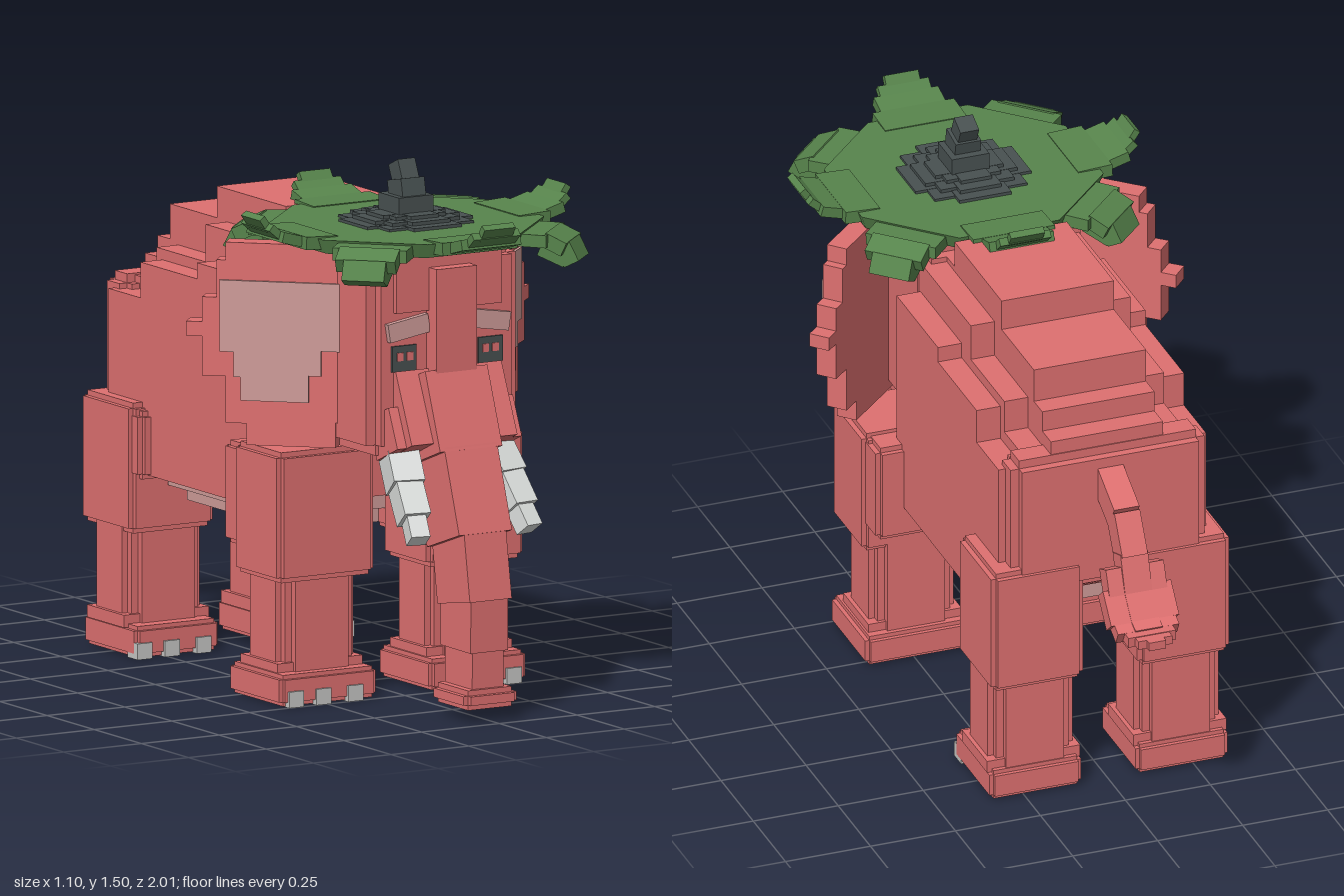
import * as THREE from 'three';

const mat = (name, color) => {
  const m = new THREE.MeshStandardMaterial({ color });
  m.name = name;
  return m;
};

export function createModel() {
  const skin = mat('pinkSkin', 0xde7070), pale = mat('palePink', 0xcf9c99);
  const ivory = mat('ivory', 0xdcdfdd), nail = mat('nailGrey', 0xc6c6c4);
  const green = mat('leafGreen', 0x57844c), dark = mat('charcoal', 0x485151);
  const root = new THREE.Group();
  root.name = 'elephant';

  const group = (name, parent = root) => {
    const g = new THREE.Group();
    g.name = name;
    parent.add(g);
    return g;
  };
  // Box given by its limits on each axis
  const box = (parent, name, m, [x0, x1], [y0, y1], [z0, z1]) => {
    const b = new THREE.Mesh(new THREE.BoxGeometry(x1 - x0, y1 - y0, z1 - z0), m);
    b.position.set((x0 + x1) / 2, (y0 + y1) / 2, (z0 + z1) / 2);
    b.name = name;
    parent.add(b);
    return b;
  };
  // Block with stepped edges made of three crossing boxes
  const block = (parent, name, m, x, y, z, s) => {
    const inset = ([a, b]) => [a + s, b - s];
    box(parent, name, m, x, inset(y), inset(z));
    box(parent, name, m, inset(x), y, inset(z));
    box(parent, name, m, inset(x), inset(y), z);
  };
  // Box running from point a to point b
  const limb = (parent, name, m, a, b, w, d, extra = 0.015) => {
    const p = new THREE.Vector3(...a), q = new THREE.Vector3(...b);
    const s = new THREE.Mesh(new THREE.BoxGeometry(w, d, p.distanceTo(q) + extra), m);
    s.position.copy(p).add(q).multiplyScalar(0.5);
    s.lookAt(q);
    s.name = name;
    parent.add(s);
  };
  // Chain of boxes in the yz plane; each row is z, y, width, depth
  const chain = (parent, name, m, rows) => {
    for (let i = 0; i < rows.length - 1; i++) {
      const [z, y, w, d] = rows[i], [z2, y2] = rows[i + 1];
      limb(parent, name, m, [0, y, z], [0, y2, z2], w, d);
    }
  };
  const extrude = (points, depth) => new THREE.ExtrudeGeometry(
    new THREE.Shape(points.map(p => new THREE.Vector2(...p))), { depth, bevelEnabled: false });

  // Body: stepped back and stepped rear underside, nested side profiles (z, y)
  const body = group('body');
  const slab = (half, pts) => {
    const g = extrude(pts.map(([z, y]) => [-z, y]), half * 2);
    g.rotateY(Math.PI / 2).translate(-half, 0, 0);
    const m = new THREE.Mesh(g, skin);
    m.name = 'bodyLayer';
    body.add(m);
  };
  slab(0.305, [[0.22, 0.51], [0.22, 1.145], [-0.1, 1.145], [-0.1, 1.1], [-0.4, 1.1],
    [-0.4, 1.0], [-0.57, 1.0], [-0.57, 0.6], [-0.5, 0.6], [-0.5, 0.555], [-0.43, 0.555], [-0.43, 0.51]]);
  slab(0.235, [[0.26, 0.515], [0.26, 1.235], [-0.17, 1.235], [-0.17, 1.13], [-0.43, 1.13],
    [-0.43, 1.035], [-0.605, 1.035], [-0.605, 0.63], [-0.54, 0.63], [-0.54, 0.58],
    [-0.47, 0.58], [-0.47, 0.535], [-0.4, 0.535], [-0.4, 0.515]]);
  slab(0.165, [[0.24, 0.6], [0.24, 1.25], [0.14, 1.25], [0.14, 1.327], [-0.225, 1.327],
    [-0.225, 1.238], [-0.475, 1.238], [-0.475, 1.14], [-0.54, 1.14], [-0.54, 1.08],
    [-0.607, 1.08], [-0.607, 0.65], [-0.5, 0.65], [-0.5, 0.6]]);
  block(body, 'rump', skin, [-0.285, 0.285], [0.62, 1.04], [-0.635, -0.52], 0.025);
  box(body, 'upperBelly', pale, [-0.235, 0.235], [0.475, 0.53], [-0.37, 0.24]);
  box(body, 'lowerBelly', pale, [-0.18, 0.18], [0.43, 0.48], [-0.36, 0.2]);

  // Legs with stepped thighs, shins, feet and toenails
  for (const s of [1, -1]) {
    for (const front of [true, false]) {
      const leg = group(front ? 'frontLeg' : 'rearLeg');
      const cx = s * (front ? 0.24 : 0.215), hw = front ? 0.155 : 0.135;
      const [z0, z1] = front ? [0.215, 0.5] : [-0.63, -0.345];
      const wide = h => [cx - h, cx + h];
      block(leg, 'thigh', skin, wide(hw), [0.345, 0.71],
        front ? [0.24, 0.485] : [-0.645, -0.375], 0.015);
      if (front) block(leg, 'shoulder', skin, wide(hw - 0.012), [0.415, 0.7], [0.165, 0.44], 0.015);
      else block(leg, 'hip', skin, wide(hw - 0.012), [0.5, 0.69], [-0.62, -0.345], 0.015);
      const zs = front ? [0.24, 0.455] : [-0.615, -0.4];
      box(leg, 'shin', skin, wide(0.125), [0.06, 0.38], [zs[0] + 0.04, zs[1] - 0.04]);
      box(leg, 'shin', skin, wide(0.085), [0.06, 0.38], zs);
      box(leg, 'shin', skin, wide(0.107), [0.06, 0.38], [zs[0] + 0.02, zs[1] - 0.02]);
      block(leg, 'foot', skin, wide(hw), [0.003, 0.09], [z0, z1 - 0.004], 0.012);
      box(leg, 'ankle', skin, wide(0.137), [0.08, 0.115], [zs[0] + 0.01, zs[1] - 0.01]);
      for (const off of [-0.08, 0.022, 0.11]) {
        const x = cx + s * off;
        box(leg, 'toenail', nail, [x - 0.024, x + 0.024], [0, 0.045], [z1 - 0.05, z1 + 0.003]);
      }
    }
  }

  // Head, forehead and lower jaw
  const head = group('head');
  block(head, 'skull', skin, [-0.24, 0.24], [0.72, 1.28], [0.2, 0.72], 0.03);
  box(head, 'crown', skin, [-0.17, 0.17], [1.12, 1.285], [0.27, 0.735]);
  box(head, 'forehead', skin, [-0.065, 0.065], [0.85, 1.24], [0.6, 0.775]);
  limb(head, 'jaw', skin, [0, 0.78, 0.59], [0, 0.63, 0.65], 0.2, 0.08);

  // Trunk: broad sloping muzzle, then narrowing segments
  const trunk = group('trunk');
  limb(trunk, 'muzzle', skin, [0, 0.92, 0.665], [0, 0.74, 0.745], 0.34, 0.15);
  limb(trunk, 'muzzle', skin, [0, 0.83, 0.69], [0, 0.735, 0.732], 0.4, 0.12);
  chain(trunk, 'trunkSegment', skin, [
    [0.69, 0.92, 0.2, 0.18], [0.765, 0.72, 0.17, 0.18], [0.84, 0.5, 0.135, 0.175],
    [0.868, 0.33, 0.12, 0.16], [0.867, 0.2, 0.1, 0.145], [0.866, 0.05]]);
  block(trunk, 'trunkTip', skin, [-0.085, 0.085], [0.035, 0.09], [0.775, 0.965], 0.015);

  // Face details, tusks and ears, mirrored
  for (const s of [1, -1]) {
    const span = (a, b) => s > 0 ? [a, b] : [-b, -a];
    const eye = group('eye', head);
    box(eye, 'eyeSocket', dark, span(0.1, 0.178), [0.955, 1.027], [0.719, 0.726]);
    for (const x of [0.112, 0.143])
      box(eye, 'eyeGlint', skin, span(x, x + 0.02), [0.985, 1.008], [0.724, 0.729]);
    const brow = box(head, 'brow', pale, span(0.065, 0.195), [1.05, 1.102], [0.7, 0.737]);
    brow.rotation.z = -s * 0.16;

    const tusk = group('tusk');
    const pts = [[0.145, 0.735, 0.7], [0.16, 0.645, 0.765], [0.17, 0.565, 0.825], [0.178, 0.512, 0.862]];
    [0.09, 0.077, 0.055].forEach((w, i) => limb(tusk, 'tuskSegment', ivory,
      [s * pts[i][0], ...pts[i].slice(1)], [s * pts[i + 1][0], ...pts[i + 1].slice(1)], w, w));

    // Ear swept back; outline is distance from the hinge and height
    const ear = group('ear');
    ear.position.set(s * 0.2, 0, 0.575);
    ear.rotation.y = s * 0.75;
    const plate = (name, m, outline, depth, z) => {
      const o = outline.map(([u, y]) => [s * u, y]);
      const e = new THREE.Mesh(extrude(o, depth), m);
      e.position.z = z;
      e.name = name;
      ear.add(e);
    };
    plate('earFlap', skin, [[0, 1.285], [0.37, 1.285], [0.37, 1.235], [0.395, 1.235], [0.395, 1.13],
      [0.435, 1.13], [0.435, 1.06], [0.48, 1.06], [0.48, 1.02], [0.435, 1.02], [0.435, 0.91],
      [0.37, 0.91], [0.37, 0.78], [0.31, 0.78], [0.31, 0.72], [0.06, 0.72], [0.06, 0.79], [0, 0.79]], 0.06, -0.06);
    plate('earInside', pale, [[0.03, 1.18], [0.385, 1.18], [0.385, 0.98], [0.345, 0.98], [0.345, 0.91],
      [0.325, 0.91], [0.325, 0.845], [0.135, 0.845], [0.135, 0.92], [0.1, 0.92], [0.1, 0.99],
      [0.03, 0.99]], 0.008, 0);
  }

  // Tail with a broad, tapering tuft
  const tail = group('tail');
  chain(tail, 'tailSegment', skin, [[-0.62, 0.945, 0.075, 0.085], [-0.735, 0.885, 0.075, 0.075],
    [-0.79, 0.79, 0.08, 0.065], [-0.82, 0.7, 0.08, 0.055], [-0.88, 0.628, 0.08, 0.045], [-0.92, 0.612]]);
  chain(tail, 'tailTuft', skin, [[-0.8, 0.755, 0.17, 0.055], [-0.825, 0.695, 0.2, 0.05],
    [-0.88, 0.63, 0.18, 0.04], [-0.915, 0.612, 0.14, 0.03], [-0.95, 0.61, 0.1, 0.025],
    [-0.975, 0.61, 0.05, 0.025], [-0.993, 0.61]]);

  // Leafy hat: octagonal brim, curled and drooping petals, dark stem
  const hat = group('hat');
  hat.position.set(0, 0, 0.505);
  const brim = new THREE.Mesh(new THREE.CylinderGeometry(0.385, 0.37, 0.04, 8), green);
  brim.geometry.rotateY(Math.PI / 8);
  brim.position.y = 1.311;
  brim.name = 'brim';
  hat.add(brim);
  for (let i = 0; i < 8; i++) {
    const petal = group('petal', hat);
    petal.rotation.y = i * Math.PI / 4;
    if (i % 2) {
      chain(petal, 'petalSegment', green, [[0.3, 1.309, 0.21, 0.035], [0.415, 1.306, 0.17, 0.04],
        [0.46, 1.285, 0.12, 0.045], [0.48, 1.245]]);
      limb(petal, 'petalFold', green, [0, 1.275, 0.4], [0, 1.25, 0.46], 0.12, 0.04);
    } else {
      chain(petal, 'petalSegment', green, [[0.3, 1.316, 0.24, 0.036], [0.385, 1.32, 0.19, 0.03],
        [0.445, 1.337, 0.15, 0.022], [0.472, 1.36, 0.1, 0.02], [0.488, 1.383]]);
    }
  }
  [[0.17, 1.34], [0.135, 1.35], [0.1, 1.36]].forEach(([r, top]) => {
    for (const [a, b, drop] of [[1, 0.45, 0.001], [0.45, 1, 0], [0.8, 0.8, 0.002]])
      box(hat, 'stemBase', dark, [-r * a, r * a], [1.31, top - drop], [-r * b, r * b]);
  });
  box(hat, 'stem', dark, [-0.055, 0.055], [1.35, 1.405], [-0.055, 0.055]);
  limb(hat, 'stem', dark, [0, 1.39, 0.01], [0, 1.44, 0.0], 0.075, 0.075);
  limb(hat, 'stemTip', dark, [0, 1.43, 0.005], [0, 1.485, -0.02], 0.055, 0.055);

  return root;
}
